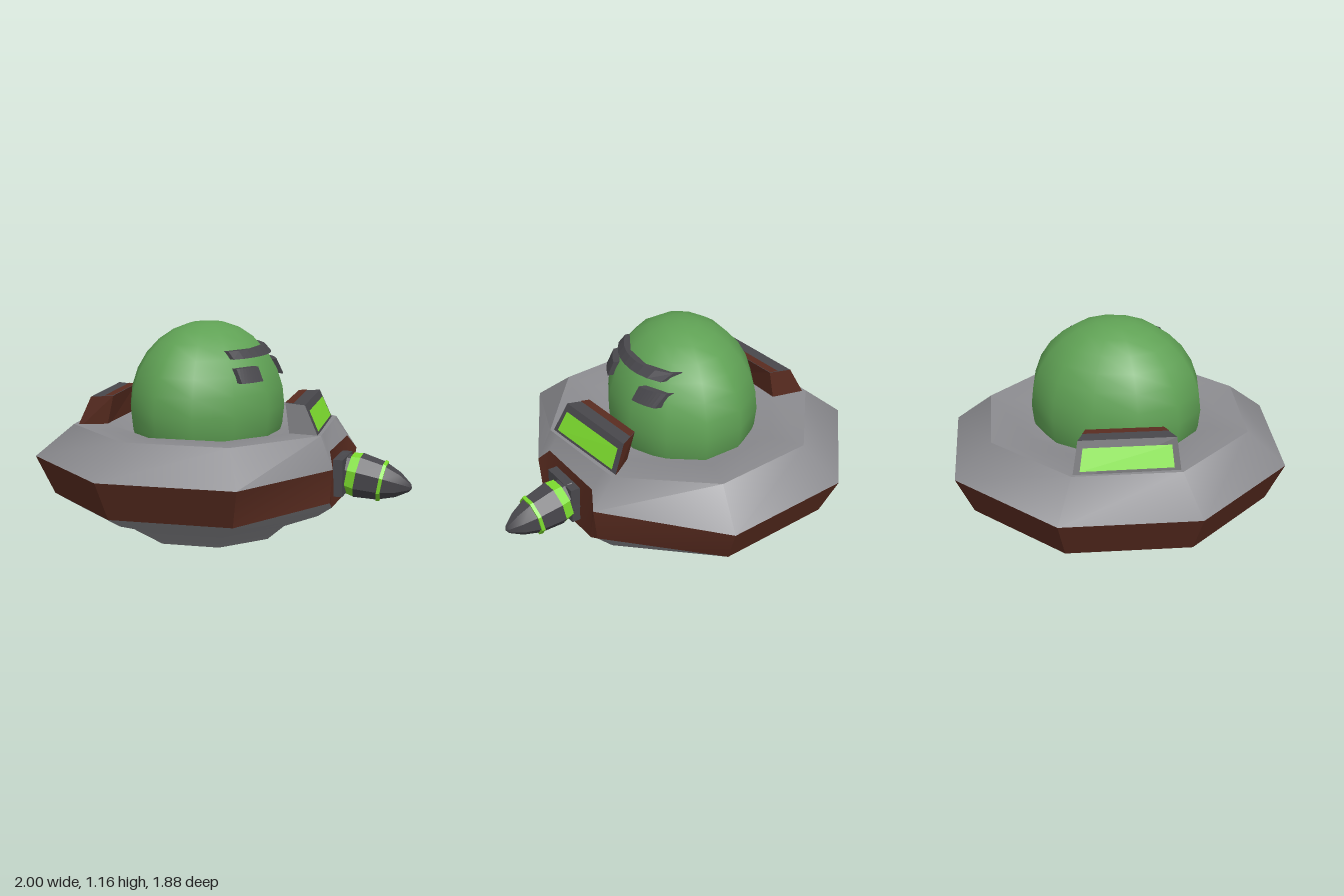
import * as THREE from 'three';
import { mergeGeometries, toCreasedNormals } from 'three/addons/utils/BufferGeometryUtils.js';

const mat = (name, color) => Object.assign(new THREE.MeshStandardMaterial({ color }), { name });
const V = (x, y, z) => new THREE.Vector3(x, y, z);
const CX = -0.06; // saucer axis

// Octagonal ring with two extra columns on the gun-side edge; override gives the four points there
function ring(r, y, override) {
  const c = [];
  for (let i = 0; i < 8; i++) {
    const a = (i * Math.PI) / 4;
    c.push(V(CX + r * Math.cos(a), y, -r * Math.sin(a)));
  }
  const edge = override
    ? override.map((p) => V(...p))
    : [c[0], c[0].clone().lerp(c[1], 0.12), c[0].clone().lerp(c[1], 0.86), c[1]];
  return [...edge, ...c.slice(2)];
}

// Skin a list of rings, from below to above
function loft(rings, crease) {
  const n = rings[0].length, index = [];
  for (let k = 0; k < rings.length - 1; k++) {
    for (let i = 0; i < n; i++) {
      const j = (i + 1) % n, a = k * n + i, b = k * n + j;
      index.push(a, b, b + n, a, b + n, a + n);
    }
  }
  const g = new THREE.BufferGeometry().setFromPoints(rings.flat());
  g.setIndex(index);
  return toCreasedNormals(g, crease);
}

// Flat rectangle inside a four-cornered face (counterclockwise), raised by lift
function quad([a, b, c, d], u0 = 0, u1 = 1, v0 = 0, v1 = 1, lift = 0) {
  const n = b.clone().sub(a).cross(d.clone().sub(a)).normalize().multiplyScalar(lift);
  const at = (u, v) => a.clone().lerp(b, u).lerp(d.clone().lerp(c, u), v).add(n);
  const g = new THREE.BufferGeometry().setFromPoints([at(u0, v0), at(u1, v0), at(u1, v1), at(u0, v1)]);
  g.setIndex([0, 1, 2, 0, 2, 3]);
  const flat = g.toNonIndexed();
  flat.computeVertexNormals();
  return flat;
}

export function createModel() {
  const model = new THREE.Group();
  const hull = mat('hullGrey', 0x8c8c90);
  const brown = mat('bandBrown', 0x5a2c20);
  const dark = mat('darkGrey', 0x48474c);
  const lime = mat('limeGlow', 0x7cdc2e);
  const green = mat('domeGreen', 0x60a255);
  const bronze = mat('bottomBronze', 0x6e4713);
  const add = (name, geo, material, parent = model) => {
    const m = new THREE.Mesh(geo, material);
    m.name = name;
    parent.add(m);
    return m;
  };

  // Saucer: base plate, lower hull, band and upper hull share their rings
  const foot = ring(0.405, 0);
  const bandLow = ring(0.84, 0.23, [[0.73, 0.26, 0], [0.69, 0.21, -0.09], [0.57, 0.21, -0.46], [0.55, 0.25, -0.53]]);
  const bandHigh = ring(0.94, 0.44, [[0.745, 0.44, 0], [0.69, 0.52, -0.06], [0.555, 0.52, -0.47], [0.57, 0.44, -0.55]]);
  const shoulder = ring(0.75, 0.175, [[0.66, 0.18, 0], [0.63, 0.17, -0.09], [0.51, 0.17, -0.44], [0.47, 0.18, -0.52]]);
  add('basePlate', loft([ring(0.001, 0.05), ring(0.18, 0.04), foot], 0.7), bronze);
  add('lowerHull', loft([foot, ring(0.51, 0.09), shoulder, bandLow], 0.7), hull);
  add('band', loft([bandLow, bandHigh], 0.5), brown);
  add('upperHull', loft([bandHigh, ring(0.73, 0.61), ring(0.53, 0.6), ring(0.42, 0.56), ring(0.001, 0.56)], 0.75), hull);

  // Dome
  const dome = add('dome', new THREE.SphereGeometry(1, 12, 14), green);
  dome.scale.set(0.405, 0.46, 0.47);
  dome.position.set(CX, 0.7, 0);

  // Curved panels wrapped onto the dome's side
  const domePanel = (name, z0, z1, y0, y1) => {
    const g = new THREE.BoxGeometry(1, 1, 1, 1, 1, 8).toNonIndexed();
    const p = g.attributes.position;
    for (let i = 0; i < p.count; i++) {
      const y = THREE.MathUtils.lerp(y0, y1, p.getY(i) + 0.5);
      const z = THREE.MathUtils.lerp(z0, z1, p.getZ(i) + 0.5);
      const s = Math.sqrt(Math.max(0.02, 1 - ((y - 0.7) / 0.46) ** 2 - (z / 0.47) ** 2));
      p.setXYZ(i, CX + 0.405 * s + (p.getX(i) > 0 ? 0.022 : -0.03), y, z);
    }
    g.computeVertexNormals();
    add(name, g, dark);
  };
  domePanel('domeBar', -0.3, 0.17, 0.99, 1.03);
  domePanel('domePanelFront', 0.04, 0.185, 0.87, 0.945);
  domePanel('domePanelBack', -0.35, -0.235, 0.87, 0.945);

  // Raised window housings, one turned half round from the other
  const low = [V(-0.79, 0.57, 0), V(-0.6, 0.57, 0), V(-0.47, 0.57, 0.37), V(-0.57, 0.57, 0.51)];
  const top = [V(-0.69, 0.76, 0), V(-0.57, 0.76, 0), V(-0.42, 0.76, 0.37), V(-0.5, 0.76, 0.46)];
  const side = (i, j) => [low[j], low[i], top[i], top[j]];
  const roof = [top[3], top[2], top[1], top[0]];
  const housing = (name, bodyMaterial) => {
    const g = new THREE.Group();
    g.name = name;
    add('housingBody', mergeGeometries([quad(side(0, 1)), quad(side(1, 2))]), bodyMaterial, g);
    add('housingEnd', quad(side(2, 3)), brown, g);
    add('windowFrame', mergeGeometries([quad(side(3, 0)), quad(roof)]), dark, g);
    add('roofTrim', quad(roof, 0.6, 1, 0, 1, 0.003), brown, g);
    add('window', quad(side(3, 0), 0.06, 0.94, 0.27, 0.82, 0.005), lime, g);
    model.add(g);
    return g;
  };
  housing('rightHousing', brown);
  const left = housing('leftHousing', hull);
  left.rotation.y = Math.PI;
  left.position.x = 2 * CX;

  // Side gun: a mount and a stack of turned sections along its axis
  const mount = add('gunMount', new THREE.BoxGeometry(0.12, 0.2, 0.24), dark);
  mount.position.set(0.625, 0.36, -0.24);
  mount.rotation.y = 0.31;
  const gun = new THREE.Group();
  gun.name = 'gun';
  const base = V(0.66, 0.365, -0.28), tip = V(1, 0.3, -0.395);
  gun.position.copy(base);
  gun.quaternion.setFromUnitVectors(V(0, 1, 0), tip.clone().sub(base).normalize());
  const turned = (name, material, pts) => {
    const profile = pts.map(([r, y]) => new THREE.Vector2(r, y));
    add(name, toCreasedNormals(new THREE.LatheGeometry(profile, 8), 0.6), material, gun);
  };
  turned('gunNeck', dark, [[0, -0.04], [0.1, -0.04], [0.1, 0.03]]);
  turned('gunRearRing', lime, [[0, 0.02], [0.112, 0.02], [0.12, 0.07], [0, 0.07]]);
  turned('gunBarrel', dark, [[0, 0.07], [0.122, 0.07], [0.105, 0.2]]);
  turned('gunFrontRing', lime, [[0, 0.195], [0.114, 0.195], [0.11, 0.213], [0, 0.213]]);
  turned('gunNose', dark, [[0.1, 0.21], [0.068, 0.29], [0.022, 0.355], [0, 0.366]]);
  model.add(gun);

  return model;
}
